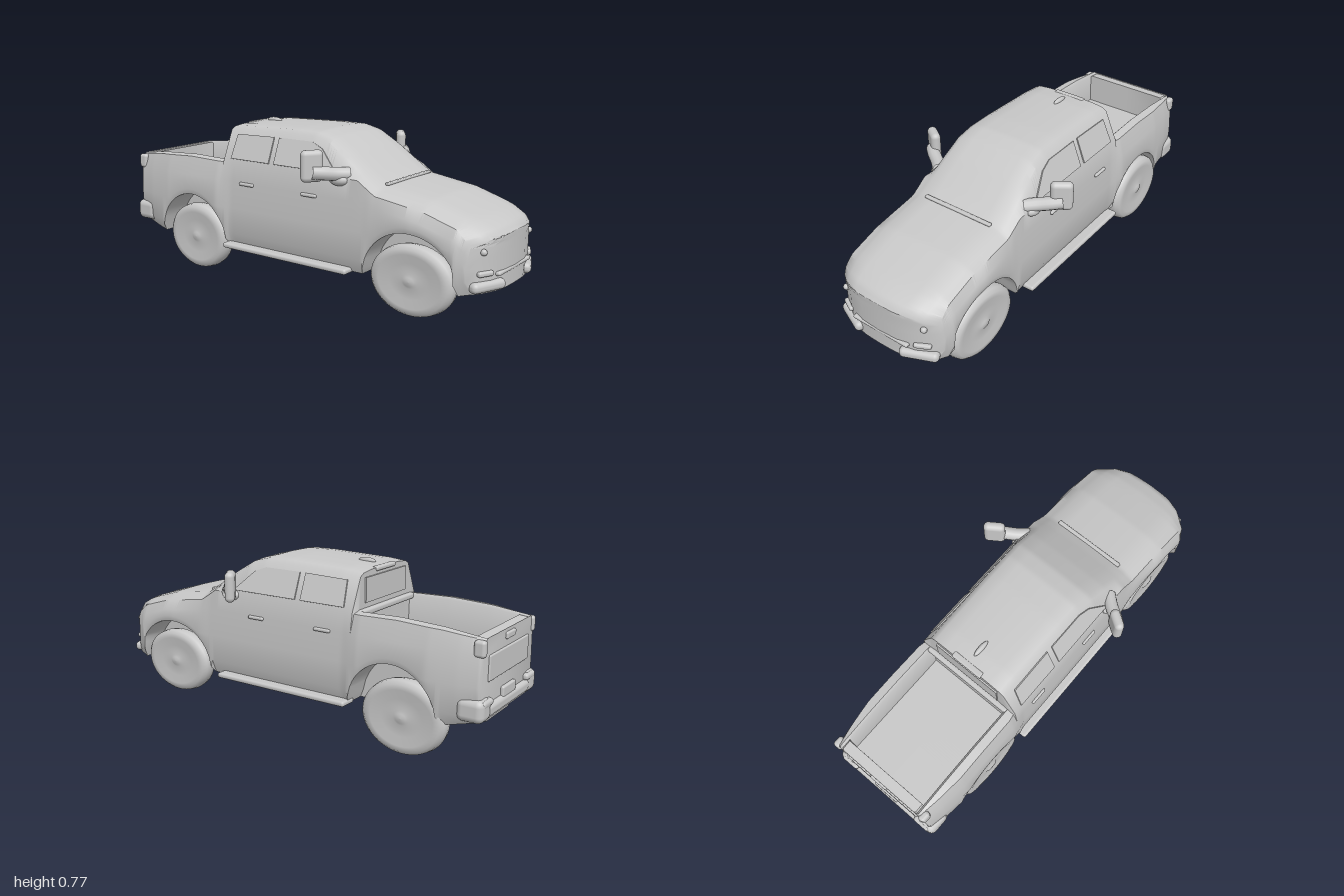
import * as THREE from 'three';
import { toCreasedNormals } from 'three/addons/utils/BufferGeometryUtils.js';
import { RoundedBoxGeometry } from 'three/addons/geometries/RoundedBoxGeometry.js';

const paint = new THREE.MeshStandardMaterial({ color: 0xc8c8c8, side: THREE.DoubleSide });
paint.name = 'plain grey';

// Linear lookup in a short table of [z, value], z falling
function at(table, z) {
  if (z >= table[0][0]) return table[0][1];
  for (let i = 1; i < table.length; i++) {
    const [z0, a] = table[i - 1], [z1, b] = table[i];
    if (z >= z1) return a + (b - a) * (z0 - z) / (z0 - z1);
  }
  return table[table.length - 1][1];
}

// Body profiles along the length
const TOP = [[1, 0.4], [0.97, 0.435], [0.9, 0.465], [0.7, 0.525], [0.47, 0.558], [0.42, 0.59], [0.3, 0.675],
  [0.2, 0.735], [0.12, 0.756], [0, 0.758], [-0.3, 0.75], [-0.385, 0.742]];
const TOP_W = [[1, 0.21], [0.9, 0.225], [0.47, 0.235], [0.3, 0.222], [0.12, 0.208], [-0.385, 0.205]];
const SIDE_W = [[1, 0.275], [0.9, 0.292], [0.65, 0.297], [0.42, 0.282], [-0.34, 0.282], [-0.42, 0.297],
  [-0.75, 0.297], [-0.88, 0.282], [-0.975, 0.265]];
const RIM = [[-0.385, 0.58], [-0.6, 0.585], [-0.8, 0.575], [-0.975, 0.555]];
const FLOOR = [[1, 0.185], [0.9, 0.17], [-0.8, 0.17], [-0.975, 0.21]];
const ARCHES = [[0.65, 0.235], [-0.585, 0.215]];

function archHeight(z) {
  let y = 0;
  for (const [c, r] of ARCHES) {
    const t = (z - c) / r;
    if (Math.abs(t) < 1) y = 0.17 + 0.225 * Math.sqrt(1 - t * t);
  }
  return y;
}

// Half section from the top centre round to the bottom centre
function section(z, kind) {
  const floor = at(FLOOR, z), arch = Math.max(floor, archHeight(z)), w = at(SIDE_W, z);
  let upper, y5;
  if (kind === 'cab') {
    const y = at(TOP, z), wt = at(TOP_W, z), yb = Math.min(0.58, y - 0.035);
    y5 = Math.min(0.49, y - 0.08);
    const wb = Math.min(0.267, w - 0.015);
    upper = [[0, y + 0.003], [wt * 0.6, y], [wt - 0.025, y - 0.006], [wt, y - 0.02], [wb, yb]];
  } else {
    const rim = at(RIM, z);
    const inner = kind === 'bed' ? 0.41 : rim - 0.006;
    y5 = 0.49;
    upper = [[0, inner], [0.212, inner], [0.218, rim - 0.012], [0.228, rim], [w - 0.03, rim - 0.006]];
  }
  const y6 = Math.max(Math.min(0.36, y5 - 0.04), arch + 0.025);
  const tuck = arch > floor + 0.02 ? 0.006 : 0.03;
  return [...upper, [w - 0.008, y5], [w, y6], [w - 0.004, Math.max(0.235, arch + 0.008)],
    [w - tuck, arch], [0.15, arch], [0.15, floor], [0, floor]];
}

// Body shell lofted from front to tailgate, with wheel wells and open bed
function bodyGeometry() {
  const rows = [];
  const add = (z, kind, pinch = 1) => {
    const half = section(z, kind).map(([x, y]) => [x * pinch, y]);
    const ring = [...half.slice(1).reverse().map(([x, y]) => [-x, y]), ...half];
    rows.push(ring.map(([x, y]) => {
      const nose = Math.max(0, (z - 0.85) / 0.15) * 0.1 * Math.abs(x / 0.28) ** 3;
      return [x, y, z - nose];
    }));
  };
  const run = (z0, z1, kind, n) => {
    for (let i = 0; i <= n; i++) add(z0 + (z1 - z0) * i / n, kind);
  };
  for (const p of [0, 0.35, 0.65, 0.85]) add(0.993, 'cab', p);
  run(0.993, -0.385, 'cab', 110);
  run(-0.39, -0.925, 'bed', 50);
  run(-0.93, -0.97, 'gate', 4);
  add(-0.978, 'gate', 0.97);
  add(-0.978, 'gate', 0);

  const n = rows[0].length, index = [];
  for (let i = 0; i < rows.length - 1; i++) {
    for (let j = 0; j < n - 1; j++) {
      const a = i * n + j, c = a + n;
      index.push(a, a + 1, c, a + 1, c + 1, c);
    }
  }
  const g = new THREE.BufferGeometry();
  g.setAttribute('position', new THREE.Float32BufferAttribute(rows.flat(2), 3));
  g.setIndex(index);
  return toCreasedNormals(g, 0.75);
}

function part(parent, name, geometry, x = 0, y = 0, z = 0) {
  const m = new THREE.Mesh(geometry, paint);
  m.name = name;
  m.position.set(x, y, z);
  parent.add(m);
  return m;
}
const rounded = (w, h, d, r = 0.01) => new RoundedBoxGeometry(w, h, d, 3, r);

// Slightly squashed wheel with a dished face and a small hub
function addWheel(parent, name, x, y, z, rz, ry) {
  const profile = [[0, -0.03], [0.1, -0.03], [0.13, -0.042], [0.175, -0.042], [0.195, -0.025], [0.2, 0],
    [0.195, 0.025], [0.178, 0.04], [0.15, 0.042], [0.1, 0.034], [0.04, 0.034], [0.025, 0.042], [0, 0.044]];
  const g = new THREE.LatheGeometry(profile.map(([r, h]) => new THREE.Vector2(r, h)), 48);
  const m = part(parent, name, g, x, y, z);
  m.rotation.z = x > 0 ? -Math.PI / 2 : Math.PI / 2;
  m.scale.set(ry / 0.2, 1, rz / 0.2);
}

// Thin side window leaning with the cab; points are [z, height up the slope]
function addWindow(parent, name, points) {
  const shape = new THREE.Shape(points.map(([z, v]) => new THREE.Vector2(-z, v)));
  const g = new THREE.ExtrudeGeometry(shape, { depth: 0.006, bevelEnabled: false });
  const lean = new THREE.Group();
  lean.name = name;
  lean.position.set(0.265, 0.585, 0);
  lean.rotation.z = 0.375;
  part(lean, name + 'Pane', g).rotation.y = Math.PI / 2;
  parent.add(lean);
}

// Everything repeated on both sides, written for the left (+x)
function sideParts(s) {
  const g = new THREE.Group();
  g.name = s > 0 ? 'leftSide' : 'rightSide';
  g.scale.x = s;

  part(g, 'runningBoard', rounded(0.09, 0.025, 0.72, 0.011), 0.264, 0.177, -0.01);
  for (const z of [0.13, -0.235]) part(g, 'doorHandle', rounded(0.016, 0.016, 0.085, 0.007), 0.277, 0.484, z);
  addWindow(g, 'frontWindow', [[0.27, 0.01], [-0.08, 0.01], [-0.08, 0.135], [0.11, 0.135], [0.17, 0.11]]);
  addWindow(g, 'rearWindow', [[-0.11, 0.01], [-0.34, 0.01], [-0.33, 0.13], [-0.11, 0.135]]);

  // Mirror: arm sweeping out and back to an upright head
  const arm = new THREE.CatmullRomCurve3([[0.235, 0.595, 0.32], [0.28, 0.598, 0.28], [0.33, 0.605, 0.245],
    [0.365, 0.61, 0.215]].map(p => new THREE.Vector3(...p)));
  part(g, 'mirrorArm', new THREE.TubeGeometry(arm, 12, 0.03, 12));
  part(g, 'mirrorFoot', new THREE.SphereGeometry(0.03, 16, 12), 0.265, 0.572, 0.285).scale.set(1, 0.9, 1.6);
  const head = part(g, 'mirrorHead', rounded(0.1, 0.138, 0.045, 0.022), 0.356, 0.636, 0.21);
  head.rotation.y = 0.6;

  // Lamps and bumper corners
  part(g, 'headlampBump', new THREE.SphereGeometry(0.014, 16, 12), 0.215, 0.355, 0.952);
  const fog = part(g, 'fogLampLip', rounded(0.075, 0.022, 0.025, 0.009), 0.205, 0.266, 0.957);
  fog.rotation.y = 0.45;
  const lip = part(g, 'frontBumperCorner', rounded(0.17, 0.045, 0.05, 0.02), 0.185, 0.212, 0.958);
  lip.rotation.y = 0.4;
  part(g, 'tailLamp', rounded(0.035, 0.07, 0.05, 0.014), 0.248, 0.515, -0.962);
  part(g, 'rearBumperCorner', rounded(0.1, 0.1, 0.12, 0.03), 0.235, 0.262, -0.938);
  part(g, 'rearBumperStep', rounded(0.09, 0.03, 0.09, 0.013), 0.22, 0.29, -0.955);

  // Axle stubs in the wells
  for (const z of [0.64, -0.6]) {
    const stub = part(g, 'axleStub', new THREE.CylinderGeometry(0.025, 0.035, 0.12, 16), 0.16, 0.15, z);
    stub.rotation.z = Math.PI / 2 - 0.2;
  }
  return g;
}

export function createModel() {
  const truck = new THREE.Group();
  truck.name = 'pickupTruck';
  part(truck, 'body', bodyGeometry());
  truck.add(sideParts(1), sideParts(-1));

  addWheel(truck, 'frontRightWheel', -0.237, 0.188, 0.65, 0.2, 0.155);
  addWheel(truck, 'frontLeftWheel', 0.237, 0.188, 0.65, 0.2, 0.155);
  addWheel(truck, 'rearRightWheel', -0.237, 0.18, -0.575, 0.19, 0.162);
  addWheel(truck, 'rearLeftWheel', 0.237, 0.165, -0.635, 0.2, 0.165);

  // Nose, windscreen base and roof details
  part(truck, 'grilleLip', rounded(0.3, 0.018, 0.03, 0.008), 0, 0.255, 0.98);
  part(truck, 'wiperLip', rounded(0.36, 0.012, 0.02, 0.005), 0, 0.561, 0.475);
  const fin = part(truck, 'roofFin', new THREE.SphereGeometry(0.02, 16, 12), 0, 0.754, -0.29);
  fin.scale.set(0.6, 0.7, 2.2);
  part(truck, 'roofLamp', rounded(0.16, 0.02, 0.03, 0.008), 0, 0.738, -0.378);

  // Cab rear window and bed front rail
  part(truck, 'rearGlass', new THREE.BoxGeometry(0.34, 0.11, 0.008), 0, 0.66, -0.389);
  part(truck, 'bedFrontRail', rounded(0.46, 0.03, 0.03, 0.012), 0, 0.568, -0.395);

  // Tailgate and rear bumper
  part(truck, 'tailgatePanel', rounded(0.4, 0.11, 0.016, 0.007), 0, 0.425, -0.977);
  part(truck, 'tailgateHandle', rounded(0.09, 0.03, 0.018, 0.008), 0, 0.525, -0.979);
  part(truck, 'rearBumper', rounded(0.42, 0.055, 0.06, 0.02), 0, 0.25, -0.968);
  part(truck, 'plateHolder', rounded(0.13, 0.06, 0.02, 0.008), 0, 0.285, -0.982);
  part(truck, 'towBar', rounded(0.24, 0.04, 0.1, 0.018), 0, 0.185, -0.9);
  return truck;
}
